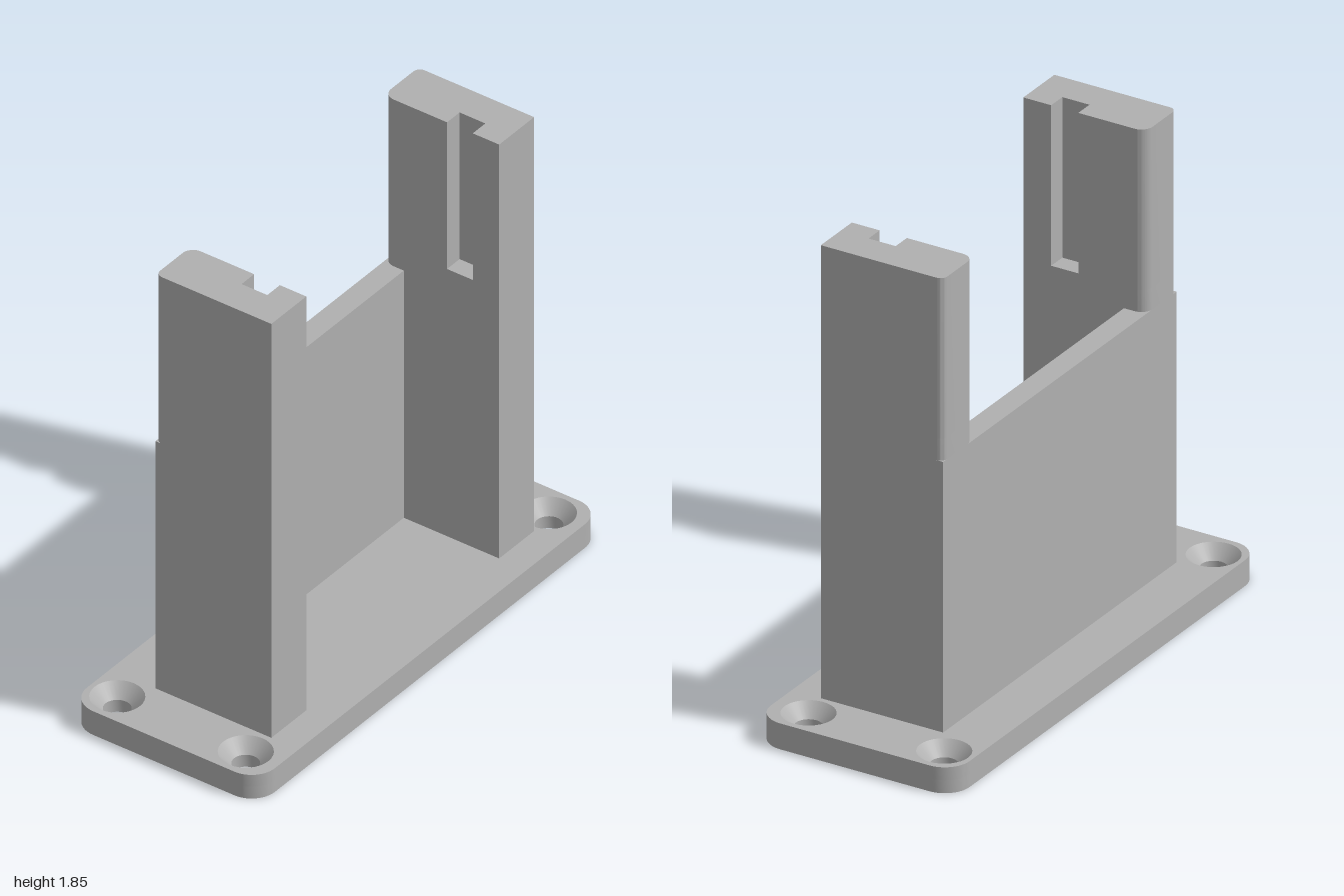
import * as THREE from 'three';
import { toCreasedNormals } from 'three/addons/utils/BufferGeometryUtils.js';

const grey = new THREE.MeshStandardMaterial({ color: 0xb0b0b0, side: THREE.DoubleSide });
grey.name = 'grey';

// Plan outline from corners [x, z, radius], drawn with y = -z
function outline(corners, side = 1) {
  const pts = corners.map(([x, z, r = 0]) => ({ p: new THREE.Vector2(x * side, -z), r }));
  const shape = new THREE.Shape();
  pts.forEach(({ p, r }, i) => {
    const toward = (q) => q.clone().sub(p).normalize();
    const a = toward(pts[(i + pts.length - 1) % pts.length].p);
    const b = toward(pts[(i + 1) % pts.length].p);
    const at = (d, k) => p.clone().addScaledVector(d, r * k);
    const start = at(a, 1), end = at(b, 1), c1 = at(a, 0.448), c2 = at(b, 0.448);
    if (i === 0) shape.moveTo(start.x, start.y);
    else shape.lineTo(start.x, start.y);
    if (r) shape.bezierCurveTo(c1.x, c1.y, c2.x, c2.y, end.x, end.y);
  });
  shape.closePath();
  return shape;
}

// Raise a plan outline from y0 to y1
function slab(name, shape, y0, y1) {
  let geo = new THREE.ExtrudeGeometry(shape, { depth: y1 - y0, bevelEnabled: false, curveSegments: 16 });
  geo.rotateX(-Math.PI / 2).translate(0, y0, 0);
  geo = toCreasedNormals(geo, 0.6);
  const mesh = new THREE.Mesh(geo, grey);
  mesh.name = name;
  return mesh;
}

function createBase() {
  const base = new THREE.Group();
  base.name = 'basePlate';
  const holes = [];
  for (const x of [-0.88, 0.88]) for (const z of [-0.29, 0.26]) holes.push([x, z]);
  const plate = (radius) => {
    const shape = outline([[-1, 0.4, 0.1], [1, 0.4, 0.1], [1, -0.405, 0.1], [-1, -0.405, 0.1]]);
    for (const [x, z] of holes) {
      shape.holes.push(new THREE.Path().absarc(x, -z, radius, 0, Math.PI * 2, true));
    }
    return shape;
  };
  base.add(slab('plateLower', plate(0.05), 0, 0.05), slab('plateUpper', plate(0.097), 0.05, 0.1));
  // Conical seats for the screw heads
  for (const [x, z] of holes) {
    const seat = new THREE.Mesh(new THREE.CylinderGeometry(0.097, 0.05, 0.05, 32, 1, true), grey);
    seat.position.set(x, 0.075, z);
    seat.name = 'countersink';
    base.add(seat);
  }
  return base;
}

function createPost(side) {
  const post = new THREE.Group();
  post.name = side > 0 ? 'leftPost' : 'rightPost';
  const inner = 0.56, outer = 0.763, back = -0.213, front = 0.283;
  const wallTop = 1.145, slotBottom = 1.23, top = 1.85;
  const roundedBack = [[inner, back, 0.045], [outer, back, 0.028], [outer, front], [inner, front]];
  const slot = [[inner, 0.17], [0.633, 0.17], [0.633, 0.06], [inner, 0.06]];
  post.add(
    slab('postFoot', outline([[inner, back], [outer, back], [outer, front], [inner, front]], side), 0.1, wallTop),
    slab('postMiddle', outline(roundedBack, side), wallTop, slotBottom),
    slab('postSlotted', outline([...roundedBack, ...slot], side), slotBottom, top)
  );
  return post;
}

export function createModel() {
  const model = new THREE.Group();
  model.name = 'uprightHolder';
  const wall = slab('backWall', outline([[-0.56, -0.213], [0.56, -0.213], [0.56, -0.125], [-0.56, -0.125]]), 0.1, 1.145);
  model.add(createBase(), wall, createPost(1), createPost(-1));
  return model;
}
